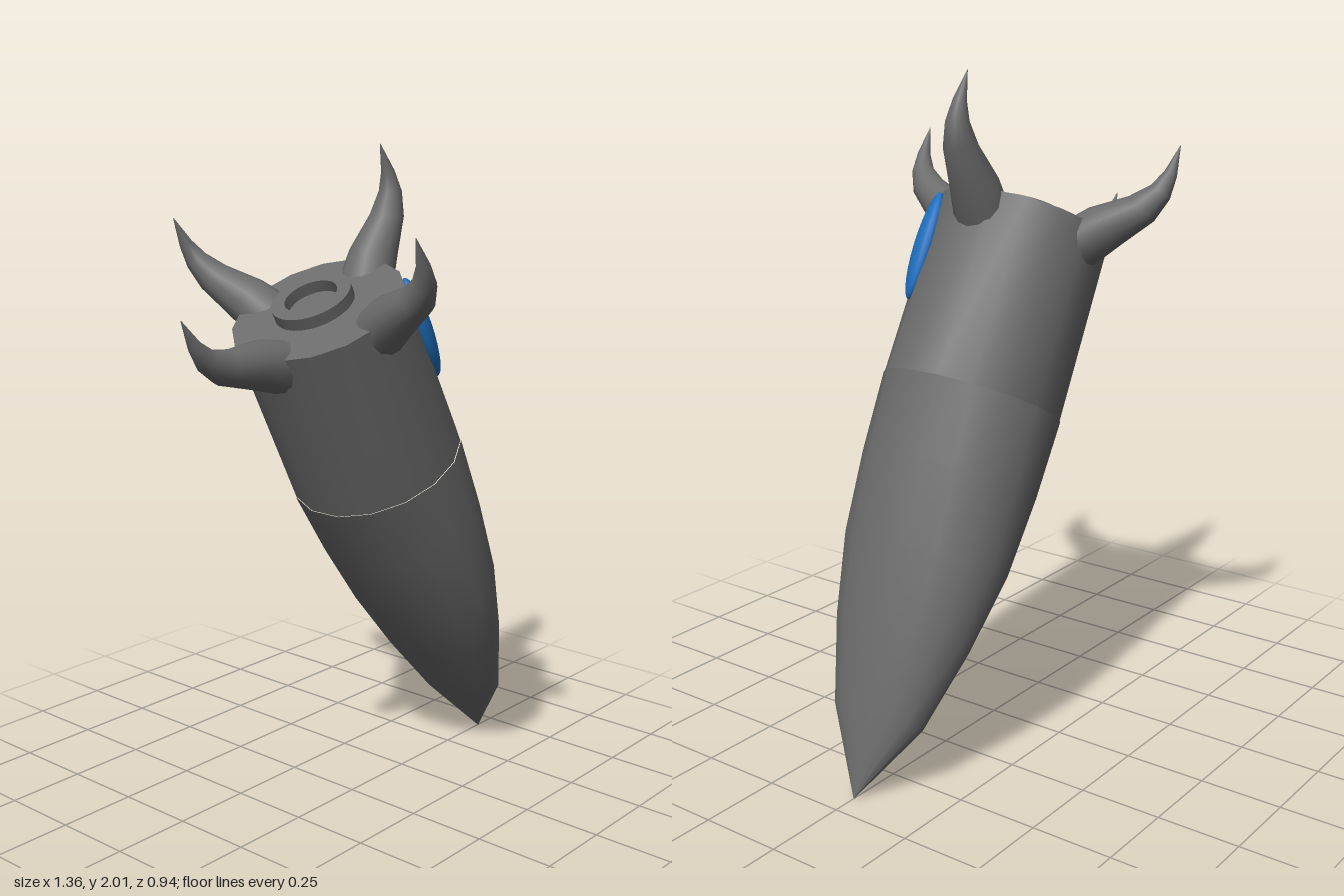
import * as THREE from 'three';

const gray = new THREE.MeshStandardMaterial({ color: 0x6b6b6b });
gray.name = 'hullGray';
const blue = new THREE.MeshStandardMaterial({ color: 0x1f70c0 });
blue.name = 'windowBlue';

// Skin over elliptical rings: each ring has centre c, axes u and v (u x v points along the loft)
function loft(rings, sides) {
  const pos = [], index = [];
  rings.forEach(({ c, u, v }) => {
    for (let k = 0; k < sides; k++) {
      const a = ((k + 0.5) / sides) * Math.PI * 2;
      const p = c.clone().addScaledVector(u, Math.cos(a)).addScaledVector(v, Math.sin(a));
      pos.push(p.x, p.y, p.z);
    }
  });
  for (let i = 0; i < rings.length - 1; i++) {
    for (let k = 0; k < sides; k++) {
      const n = (k + 1) % sides;
      const a = i * sides + k, b = i * sides + n;
      index.push(a, b, b + sides, a, b + sides, a + sides);
    }
  }
  const g = new THREE.BufferGeometry();
  g.setAttribute('position', new THREE.Float32BufferAttribute(pos, 3));
  g.setIndex(index);
  g.computeVertexNormals();
  return g;
}

// Hull section: height, half width in x, half width in z
const hullRing = ([y, rx, rz]) => ({
  c: new THREE.Vector3(0, y, 0),
  u: new THREE.Vector3(0, 0, rz),
  v: new THREE.Vector3(rx, 0, 0),
});

// Horn section: inner point (r, y), outer point (r, y), lateral half width
const hornRing = ([ri, yi, ro, yo, w]) => ({
  c: new THREE.Vector3((ri + ro) / 2, (yi + yo) / 2, 0),
  u: new THREE.Vector3(0, 0, w),
  v: new THREE.Vector3((ro - ri) / 2, (yo - yi) / 2, 0),
});

function add(parent, name, geometry, material) {
  const mesh = new THREE.Mesh(geometry, material);
  mesh.name = name;
  parent.add(mesh);
  return mesh;
}

export function createModel() {
  const model = new THREE.Group();
  model.name = 'rocket';

  // Whole craft leans, standing on its pointed nose
  const craft = new THREE.Group();
  craft.name = 'craft';
  craft.position.set(0.67, 0.01, 0);
  craft.rotation.z = THREE.MathUtils.degToRad(28);
  model.add(craft);

  // Pointed nose, flattened towards the tip
  add(craft, 'noseCone', loft([
    [-0.01, 0.001, 0.001], [0.23, 0.081, 0.155], [0.476, 0.146, 0.226],
    [0.713, 0.198, 0.268], [0.955, 0.24, 0.275], [1.193, 0.27, 0.271],
  ].map(hullRing), 16), gray);

  // Straight rear hull and its flat end
  add(craft, 'rearHull', loft([[1.193, 0.268, 0.268], [1.749, 0.256, 0.265]].map(hullRing), 16), gray);
  const cap = new THREE.CircleGeometry(1, 16, Math.PI / 16).rotateX(-Math.PI / 2);
  cap.scale(0.256, 1, 0.265);
  add(craft, 'endPlate', cap, gray).position.y = 1.749;

  // Raised ring nozzle
  const ringShape = new THREE.Shape().absarc(0, 0, 0.12, 0, Math.PI * 2);
  ringShape.holes.push(new THREE.Path().absarc(0, 0, 0.079, 0, Math.PI * 2, true));
  const ring = new THREE.ExtrudeGeometry(ringShape, { depth: 0.045, bevelEnabled: false, curveSegments: 24 });
  ring.rotateX(-Math.PI / 2);
  add(craft, 'nozzleRing', ring, gray).position.set(0.007, 1.74, -0.016);

  // Four curved horn fins
  const horn = loft([
    [0.08, 1.69, 0.18, 1.58, 0.086], [0.159, 1.749, 0.26, 1.636, 0.085],
    [0.228, 1.802, 0.342, 1.712, 0.07], [0.343, 1.849, 0.43, 1.79, 0.049],
    [0.402, 1.89, 0.463, 1.858, 0.034], [0.43, 1.936, 0.468, 1.926, 0.02],
    [0.454, 2.018, 0.456, 2.018, 0.001],
  ].map(hornRing), 14);
  ['leftFin', 'backFin', 'rightFin', 'frontFin'].forEach((name, i) => {
    add(craft, name, horn, gray).rotation.y = (i * Math.PI) / 2;
  });

  // Oval bubble window on the front left of the hull
  const bubble = add(craft, 'window', new THREE.SphereGeometry(1, 20, 14), blue);
  bubble.scale.set(0.067, 0.168, 0.032);
  bubble.position.set(0.182, 1.579, 0.188);
  bubble.rotation.y = Math.PI / 4;

  return model;
}
